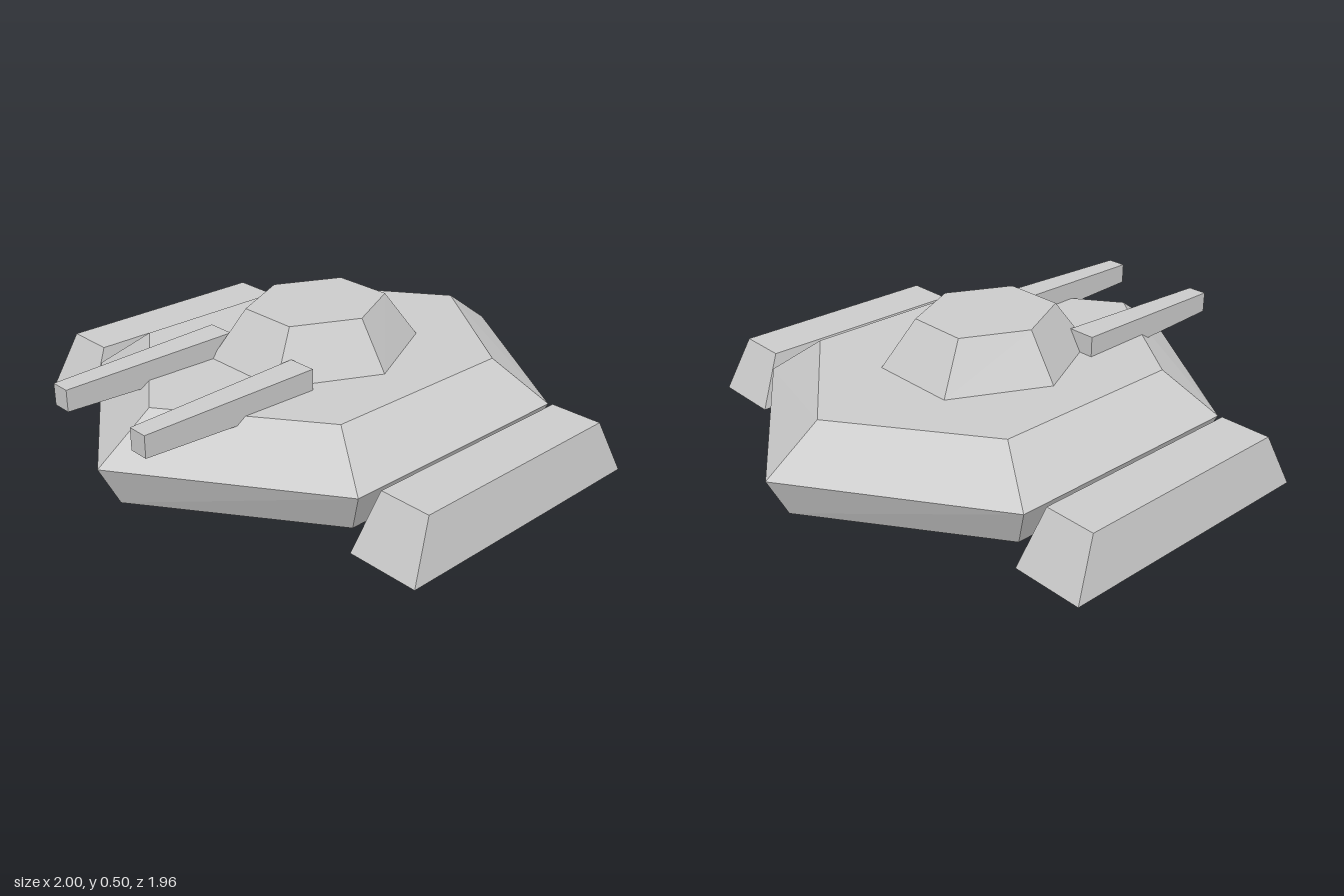
import * as THREE from 'three';

// Lofts flat-shaded faces through horizontal rings { y, pts: [[x, z], ...] },
// listed bottom to top, points counter-clockwise seen from above.
function loft(rings) {
  const pos = [];
  const tri = (a, b, c) => pos.push(...a, ...b, ...c);
  const loops = rings.map(({ y, pts }) => pts.map(([x, z]) => [x, y, z]));
  const n = loops[0].length;
  for (let r = 0; r < loops.length - 1; r++) {
    const lo = loops[r], hi = loops[r + 1];
    for (let i = 0; i < n; i++) {
      const j = (i + 1) % n;
      tri(lo[i], lo[j], hi[j]);
      tri(lo[i], hi[j], hi[i]);
    }
  }
  const bottom = loops[0], top = loops[loops.length - 1];
  for (let i = 1; i < n - 1; i++) {
    tri(bottom[0], bottom[i + 1], bottom[i]);
    tri(top[0], top[i], top[i + 1]);
  }
  const geo = new THREE.BufferGeometry();
  geo.setAttribute('position', new THREE.Float32BufferAttribute(pos, 3));
  geo.computeVertexNormals();
  return geo;
}

// Hexagon with its points on the z axis
const hexZ = (y, x, zSide, zTip) => ({
  y, pts: [[x, zSide], [x, -zSide], [0, -zTip], [-x, -zSide], [-x, zSide], [0, zTip]],
});
// Hexagon with its points on the x axis
const hexX = (y, xTip, xSide, z) => ({
  y, pts: [[xTip, 0], [xSide, -z], [-xSide, -z], [-xTip, 0], [-xSide, z], [xSide, z]],
});
// Rectangle around (cx, cz)
const rect = (y, cx, cz, hx, hz) => ({
  y, pts: [[cx + hx, cz + hz], [cx + hx, cz - hz], [cx - hx, cz - hz], [cx - hx, cz + hz]],
});

export function createModel() {
  const model = new THREE.Group();
  model.name = 'hoverTank';
  const grey = new THREE.MeshStandardMaterial({ color: 0xcccccc, flatShading: true });
  grey.name = 'grey';

  const add = (name, geo) => {
    const mesh = new THREE.Mesh(geo, grey);
    mesh.name = name;
    model.add(mesh);
  };

  // Hull: widest at its middle
  add('hull', loft([
    hexZ(0.015, 0.645, 0.445, 0.9),
    hexZ(0.172, 0.712, 0.49, 0.98),
    hexZ(0.325, 0.525, 0.385, 0.763),
  ]));

  // Turret
  add('turret', loft([
    hexX(0.325, 0.352, 0.176, 0.358),
    hexX(0.503, 0.235, 0.118, 0.24),
  ]));

  for (const [side, s] of [['left', 1], ['right', -1]]) {
    // Side skid with sloping walls
    add(side + 'Skid', loft([
      rect(0, s * 0.863, 0, 0.137, 0.537),
      rect(0.205, s * 0.863, 0, 0.099, 0.442),
    ]));

    // Tapering gun barrel, lofted upright and laid forward along +z
    const barrel = loft([
      rect(0.275, s * 0.22, -0.348, 0.055, 0.056),
      rect(0.962, s * 0.22, -0.35, 0.038, 0.04),
    ]);
    add(side + 'Barrel', barrel.rotateX(Math.PI / 2));
  }
  return model;
}
